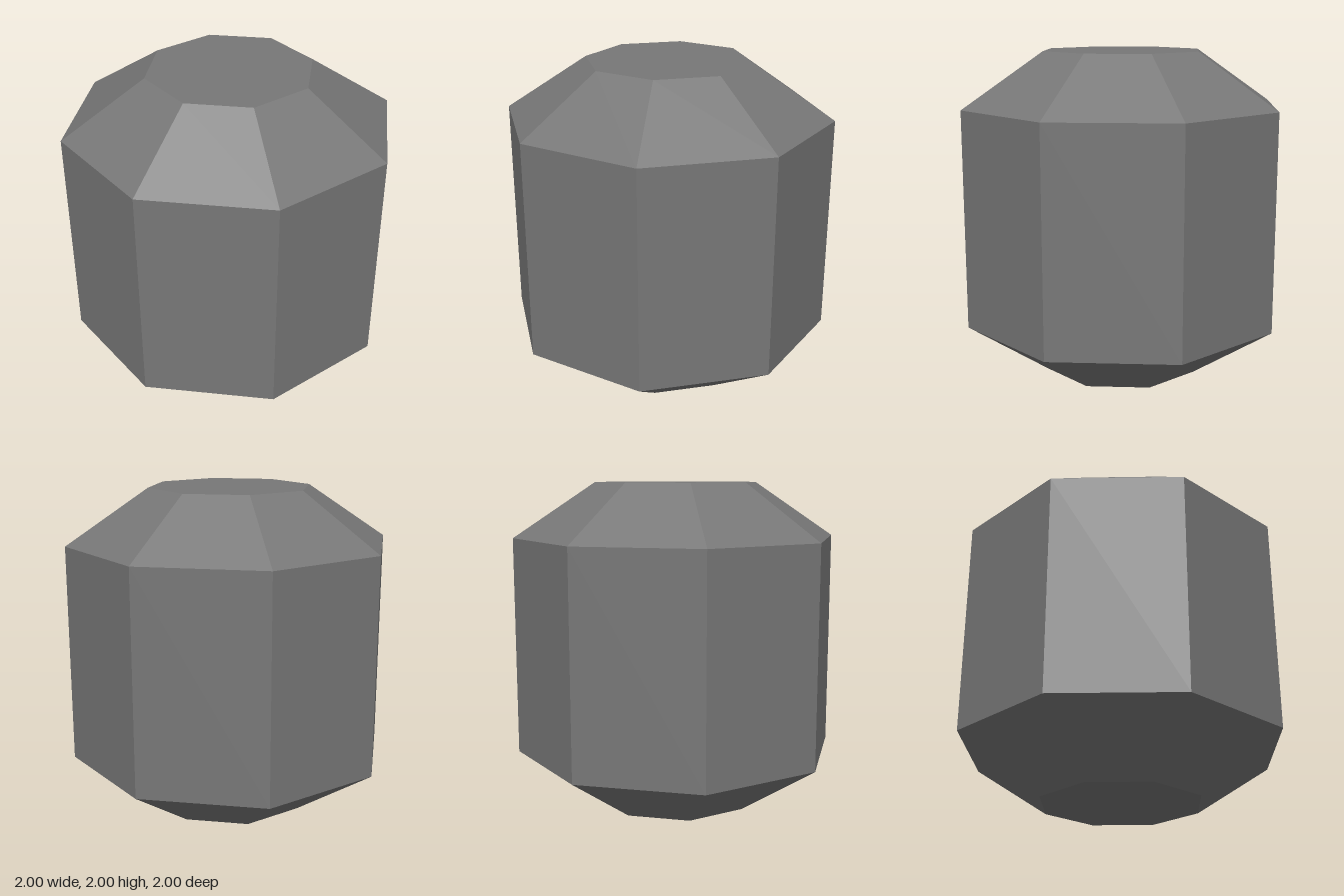
import * as THREE from 'three';

const SIDES = 8;
const HEIGHT = 2;
const RIM = 1; // radius of the straight wall
const END = 0.5; // radius of the flat ends
const BEVEL = 1 / 3; // height of each sloped band

export function createModel() {
  const group = new THREE.Group();
  group.name = 'bevelledOctagonalBarrel';
  const material = new THREE.MeshStandardMaterial({ color: 0x777777, flatShading: true });

  const add = (name, geometry, y = 0) => {
    const mesh = new THREE.Mesh(geometry, material);
    mesh.name = name;
    mesh.position.y = y;
    group.add(mesh);
  };

  // Sloped lower band, straight wall and sloped upper band
  const profile = [
    [END, 0],
    [RIM, BEVEL],
    [RIM, HEIGHT - BEVEL],
    [END, HEIGHT],
  ].map(([r, y]) => new THREE.Vector2(r, y));
  add('barrelWall', new THREE.LatheGeometry(profile, SIDES));

  // Flat octagonal ends
  add('topCap', new THREE.CircleGeometry(END, SIDES).rotateX(-Math.PI / 2), HEIGHT);
  add('bottomCap', new THREE.CircleGeometry(END, SIDES).rotateX(Math.PI / 2));

  return group;
}
